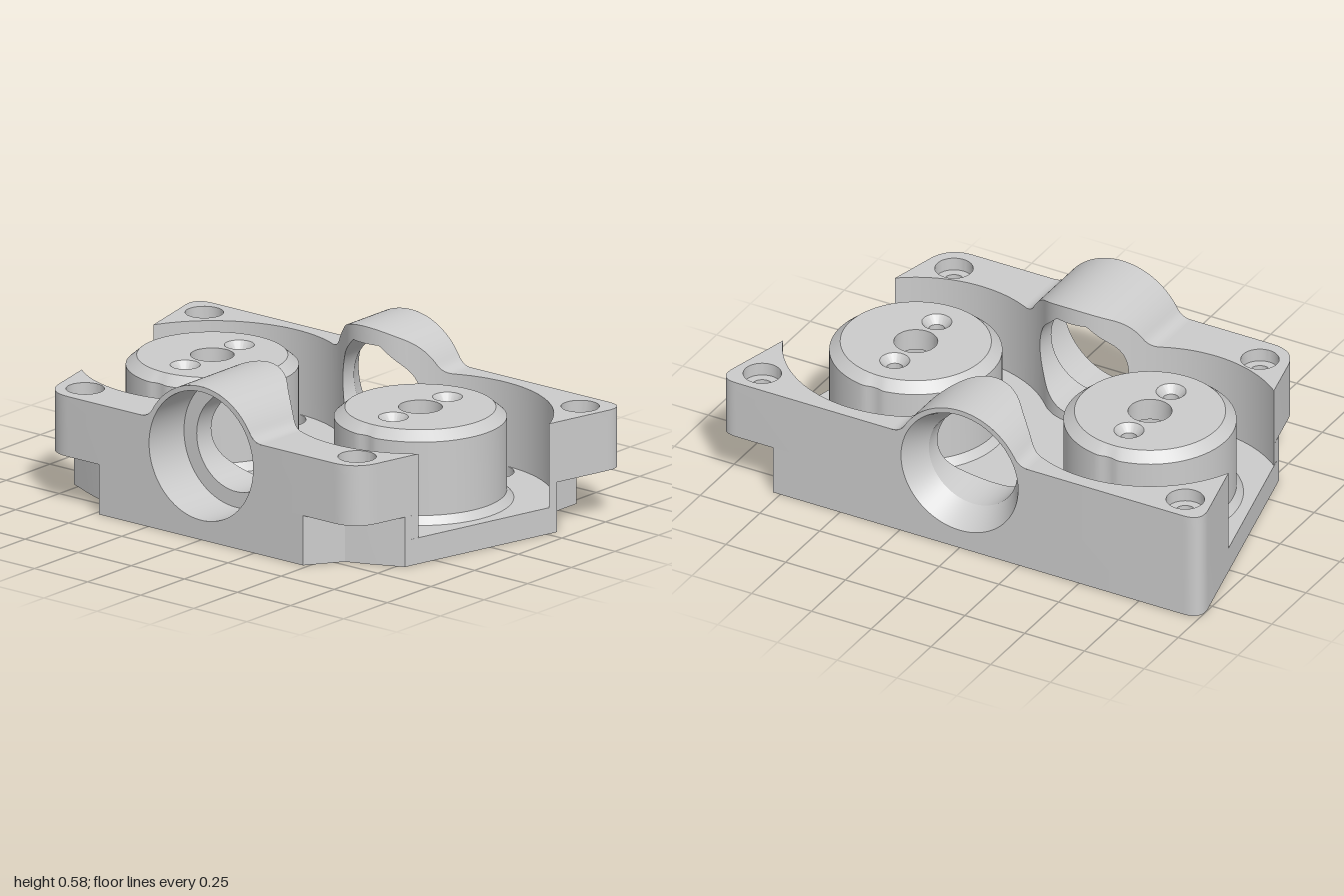
import * as THREE from 'three';
import { toCreasedNormals, mergeGeometries } from 'three/addons/utils/BufferGeometryUtils.js';

const CX = 0.49, CZ = -0.06, CR = 0.485;      // cavity circles
const W = 0.285, BY = 0.32, R = 0.185, R2 = 0.245; // hump half width, bore height and radii
const mat = new THREE.MeshStandardMaterial({ color: 0xcccccc, side: THREE.DoubleSide });
const sq = (v) => Math.sqrt(Math.max(0, v));
const edgeX = (z) => 0.87 - 0.24 * z;         // slanted outer side

function mesh(name, geo) {
  const m = new THREE.Mesh(toCreasedNormals(geo, 0.5), mat);
  m.name = name;
  return m;
}

// Plan outline in (x, z), extruded upwards from y0 to y1
const plan = (pts) => pts.map(([x, z]) => new THREE.Vector2(x, -z));
function slab(outline, holes, y0, y1) {
  const s = new THREE.Shape(plan(outline));
  s.holes = holes.map((h) => new THREE.Path(plan(h)));
  const g = new THREE.ExtrudeGeometry(s, { depth: y1 - y0, bevelEnabled: false });
  return g.rotateX(-Math.PI / 2).translate(0, y0, 0);
}
function circle(x, z, r, n = 48) {
  return Array.from({ length: n }, (_, i) => {
    const a = (i / n) * Math.PI * 2;
    return [x + r * Math.cos(a), z + r * Math.sin(a)];
  });
}

// Ruled surface between two equally long rows of points
function ruled(a, b) {
  const pos = [], idx = [];
  a.forEach((p, i) => pos.push(...p, ...b[i]));
  for (let i = 0; i < a.length - 1; i++) {
    const k = 2 * i;
    idx.push(k, k + 1, k + 2, k + 1, k + 3, k + 2);
  }
  const g = new THREE.BufferGeometry();
  g.setAttribute('position', new THREE.Float32BufferAttribute(pos, 3));
  g.setIndex(idx);
  return g.toNonIndexed();
}

// Distance of the cavity wall from its middle line, and height of the hump
function cavity(x) {
  x = Math.abs(x);
  return x < 0.138 ? 0.465 - sq(0.0361 - x * x) : sq(CR * CR - (x - CX) ** 2);
}
function humpTop(x) {
  x = Math.abs(x);
  if (x >= 0.283) return 0.42;
  return x < 0.231 ? BY + sq(0.265 ** 2 - x * x) : 0.48 - sq(0.0036 - (0.283 - x) ** 2);
}
const boreTop = (x) => {
  x = Math.abs(x);
  return Math.min(0.52, x < R * Math.SQRT1_2 ? BY + R * Math.SQRT2 - x : BY + sq(R * R - x * x));
};

// Arched wall with the bore: s = 1 front, -1 back
function archWall(s) {
  const zc = (x) => CZ + s * cavity(x), zo = s * 0.6, zs = s > 0 ? 0.4 : -0.5;
  const columns = (r) => {
    const xs = [];
    for (let i = 0; i < 10; i++) xs.push(-W + ((W - r) * i) / 10);
    for (let i = 0; i <= 48; i++) xs.push(-r * Math.cos((Math.PI * i) / 48));
    for (let i = 1; i <= 10; i++) xs.push(r + ((W - r) * i) / 10);
    return xs;
  };
  const strip = (xs, y0, z0, y1, z1) => ruled(xs.map((x) => [x, y0(x), z0(x)]), xs.map((x) => [x, y1(x), z1(x)]));
  const inner = columns(R), outer = columns(R2), out = () => zo;
  const ring = (r, tear, z) => Array.from({ length: 97 }, (_, i) => {
    const t = (i / 96) * Math.PI * 2, x = r * Math.cos(t);
    return [x, tear && i <= 48 ? boreTop(x) : BY + r * Math.sin(t), z(x)];
  });
  const parts = [
    strip(inner, () => 0.1, zc, (x) => BY - sq(R * R - x * x), zc),
    strip(inner, boreTop, zc, humpTop, zc),
    strip(outer, () => 0, out, (x) => BY - sq(R2 * R2 - x * x), out),
    strip(outer, (x) => BY + sq(R2 * R2 - x * x), out, humpTop, out),
    strip(inner, humpTop, zc, humpTop, out),
    strip([-W, W], () => 0, () => zs, () => 0, out),
    ruled(ring(R, true, zc), ring(R, true, () => zs)),
  ];
  // stepped mouth in front, tapered mouth behind
  if (s > 0) parts.push(ruled(ring(R2, false, () => zs), ring(R2, false, out)));
  parts.push(ruled(ring(R, true, () => zs), ring(R2, false, s > 0 ? () => zs : out)));
  return mergeGeometries(parts);
}

// Corner block: sx = left/right, s = front/back
function cornerBlock(sx, s) {
  const front = s > 0, zEnd = front ? 0.32 : -0.26, arc = [];
  const a0 = Math.atan2(zEnd - CZ, edgeX(zEnd) - CX);
  const a1 = Math.atan2(s * cavity(W), W - CX);
  for (let i = 0; i <= 40; i++) {
    const a = a0 + ((a1 - a0) * i) / 40;
    arc.push([CX + CR * Math.cos(a), CZ + CR * Math.sin(a)]);
  }
  // rounded outer corner
  const zk = s * 0.6, c = front ? 0.1 : 0.08;
  const curve = new THREE.QuadraticBezierCurve(
    new THREE.Vector2(edgeX(zk) - c, zk),
    new THREE.Vector2(edgeX(zk), zk),
    new THREE.Vector2(edgeX(zk - s * c), zk - s * c));
  const full = [[W, zk], ...curve.getPoints(12).map((p) => [p.x, p.y]), ...arc];
  const cut = front
    ? [[W, 0.6], [0.48, 0.6], [0.57, 0.47], [0.66, 0.435], [0.779, 0.38], ...arc]
    : [[W, -0.6], [0.78, -0.6], [0.78, -0.49], [edgeX(-0.295), -0.295], ...arc];
  const flip = (pts) => pts.map(([x, z]) => [sx * x, z]);
  const hole = (r) => [flip(circle(front ? 0.64 : 0.885, front ? 0.485 : -0.495, r))];
  const notched = front || sx > 0;
  return mergeGeometries([
    slab(flip(notched ? cut : full), notched ? [] : hole(0.065), 0, 0.19),
    slab(flip(full), hole(0.037), 0.19, 0.37),
    slab(flip(full), hole(0.07), 0.37, 0.42),
  ]);
}

// Pocket outline: circle with two flats
const pocket = (x, k) => circle(0, 0, 0.27, 96).map(([px, pz]) =>
  [x + k * Math.max(-0.235, Math.min(0.235, px)), CZ + k * pz]);

function puck(x) {
  const g = new THREE.Group();
  const side = new THREE.LatheGeometry(
    [[0.34, 0.1], [0.315, 0.13], [0.315, 0.41], [0.275, 0.445]].map((p) => new THREE.Vector2(...p)), 128);
  // keep the side clear of the through holes next to it
  const p = side.attributes.position;
  for (let i = 0; i < p.count; i++) {
    const px = p.getX(i), pz = p.getZ(i);
    if (Math.abs(px) < 0.09) {
      p.setZ(i, Math.sign(pz) * Math.min(Math.abs(pz), 0.395 - sq(0.0081 - px * px)));
    }
  }
  side.translate(x, 0, CZ);
  g.add(mesh('puckSide', side));
  const holes = (r) => [circle(x, CZ, 0.08), circle(x, CZ - 0.155, r), circle(x, CZ + 0.155, r)];
  g.add(mesh('puckTop', mergeGeometries([
    slab(circle(x, CZ, 0.3, 96), holes(0.03), 0.36, 0.415),
    slab(circle(x, CZ, 0.275, 128), holes(0.055), 0.415, 0.445),
  ])));
  for (const s of [-1, 1]) {
    const sink = new THREE.CylinderGeometry(0.055, 0.03, 0.03, 48, 1, true);
    g.add(mesh('screwSink', sink.translate(x, 0.43, CZ + s * 0.155)));
  }
  g.add(mesh('pocketWall', slab(circle(x, CZ, 0.3, 96), [pocket(x, 1)], 0.03, 0.36)));
  const rim = (k, y) => {
    const pts = pocket(x, k).map(([px, pz]) => [px, y, pz]);
    return [...pts, pts[0]];
  };
  g.add(mesh('pocketChamfer', ruled(rim(1.1, 0), rim(1, 0.03))));
  g.name = 'puck';
  return g;
}

export function createModel() {
  const model = new THREE.Group();
  model.name = 'doublePuckHousing';

  // floor plate
  const half = [[W, 0.4], [W, 0.46], [0.57, 0.46], [edgeX(0.37), 0.37], [edgeX(-0.28), -0.28],
    [0.78, -0.49], [0.78, -0.58], [W, -0.58], [W, -0.5]];
  const outline = [...half, ...half.slice().reverse().map(([x, z]) => [-x, z])];
  const holes = [];
  for (const sx of [-1, 1]) {
    holes.push(pocket(sx * CX, 1.1));
    for (const s of [-1, 1]) holes.push(circle(sx * CX, CZ + s * 0.395, 0.09));
  }
  model.add(mesh('floorPlate', slab(outline, holes, 0, 0.1)));

  // walls and corners
  for (const s of [1, -1]) {
    model.add(mesh(s > 0 ? 'frontArch' : 'backArch', archWall(s)));
    for (const sx of [1, -1]) {
      model.add(mesh((s > 0 ? 'front' : 'back') + (sx > 0 ? 'Left' : 'Right') + 'Corner', cornerBlock(sx, s)));
    }
  }

  for (const sx of [1, -1]) model.add(puck(sx * CX));
  return model;
}
